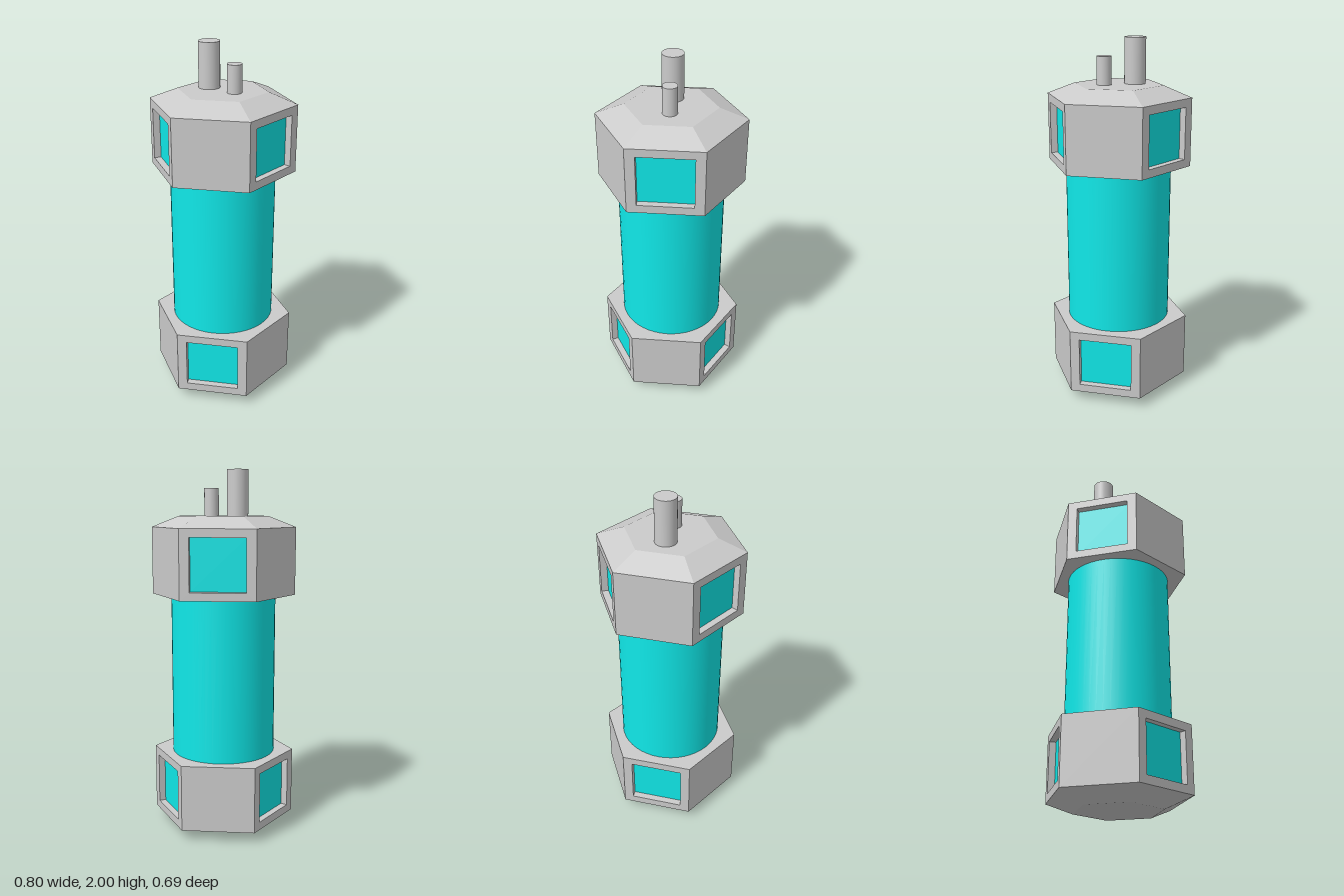
import * as THREE from 'three';

const R = 0.398;                              // hexagon corner radius
const APOTHEM = R * Math.cos(Math.PI / 6);
const WALL = 0.37, BEVEL = 0.06, RECESS = 0.037;

const grey = new THREE.MeshStandardMaterial({ color: 0xcccccc });
const greyFlat = new THREE.MeshStandardMaterial({ color: 0xcccccc, flatShading: true });
const teal = new THREE.MeshStandardMaterial({ color: 0x10e8e8 });

function add(parent, name, geometry, material, x = 0, y = 0, z = 0) {
  const mesh = new THREE.Mesh(geometry, material);
  mesh.name = name;
  mesh.position.set(x, y, z);
  parent.add(mesh);
  return mesh;
}

function rectangle(Type, w, y0, y1) {
  return new Type([[-w / 2, y0], [w / 2, y0], [w / 2, y1], [-w / 2, y1]]
    .map(([x, y]) => new THREE.Vector2(x, y)));
}

// Hexagonal end cap: inner face at y = 0, bevelled end at the top
function endCap(name) {
  const cap = new THREE.Group();
  cap.name = name;

  // Six wall panels, every other one framing a recessed window
  for (let i = 0; i < 6; i++) {
    const side = new THREE.Group();
    const windowed = i % 2 === 0;
    side.name = windowed ? 'windowSide' : 'plainSide';
    side.rotation.y = i * Math.PI / 3;
    cap.add(side);

    const shape = rectangle(THREE.Shape, R, 0, WALL);
    if (windowed) {
      shape.holes.push(rectangle(THREE.Path, 0.294, 0.045, 0.325));
      add(side, 'windowPane', new THREE.PlaneGeometry(0.296, 0.282), teal,
        0, 0.185, APOTHEM - RECESS);
    }
    const panel = new THREE.ExtrudeGeometry(shape, { depth: RECESS + 0.003, bevelEnabled: false });
    add(side, 'wallPanel', panel, greyFlat, 0, 0, APOTHEM - RECESS - 0.003);
  }

  // Sloped end and flat inner face
  const bevel = new THREE.CylinderGeometry(0.245, R, BEVEL, 6);
  bevel.rotateY(Math.PI / 6);
  add(cap, 'bevelledEnd', bevel, greyFlat, 0, WALL + BEVEL / 2).rotation.y = Math.PI / 3 + Math.PI / 2 - Math.PI / 3 - Math.PI / 3 - Math.PI / 3 + Math.PI / 6;
  const inner = new THREE.CircleGeometry(R, 6);
  inner.rotateX(Math.PI / 2);
  add(cap, 'innerFace', inner, greyFlat);
  return cap;
}

export function createModel() {
  const model = new THREE.Group();
  model.name = 'canister';

  add(model, 'tank', new THREE.CylinderGeometry(0.29, 0.29, 0.915, 48), teal, 0, 0.8775);

  const topCap = endCap('topCap');
  topCap.position.y = 1.325;
  model.add(topCap);

  // The lower cap is the same part turned over about the x axis
  const bottomCap = endCap('bottomCap');
  bottomCap.position.y = WALL + BEVEL;
  bottomCap.rotation.x = Math.PI;
  model.add(bottomCap);

  // Two pipes standing on the upper cap
  for (const [name, r, top, z] of [['tallPipe', 0.058, 2, -0.093], ['shortPipe', 0.04, 1.905, 0.08]]) {
    const h = top - 1.74;
    add(model, name, new THREE.CylinderGeometry(r, r, h, 32), grey, 0, top - h / 2, z);
  }
  return model;
}
